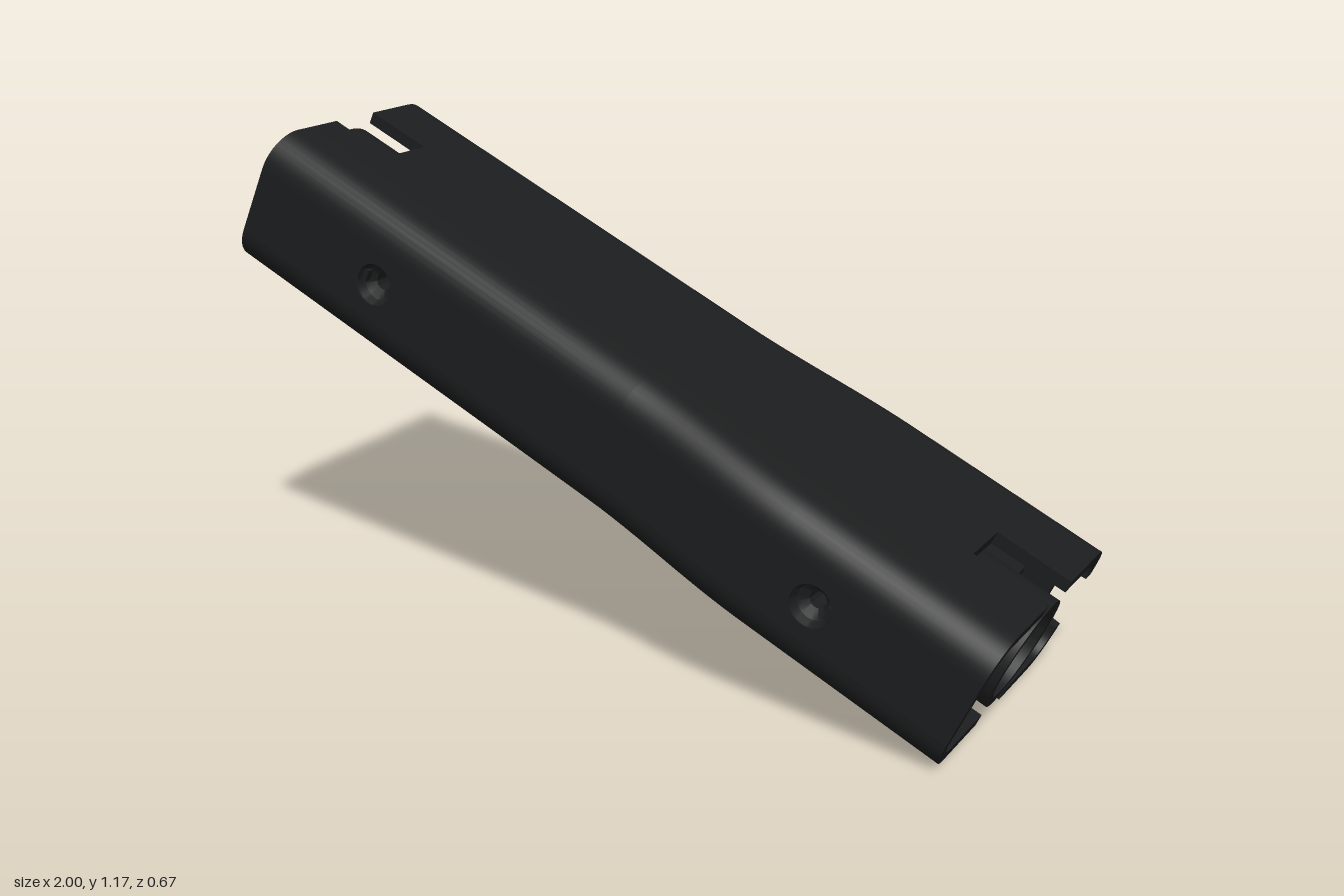
import * as THREE from 'three';
import { toCreasedNormals } from 'three/addons/utils/BufferGeometryUtils.js';

const L = 1.02, H = 0.175, WALL = 0.03, R = 0.09, SLOT = 0.07; // half length, half height, wall, corner, slot half width
const HOLE = 0.633, T0 = 0.05, T1 = 0.5;                      // screw position, start and end of the widening
const mat = new THREE.MeshStandardMaterial({ color: 0x1c1d1e });

// half width of the shell along its length
const width = (u) => 0.302 + 0.035 * THREE.MathUtils.smoothstep(u, T0, T1);

const range = (a, b, n) => Array.from({ length: n + 1 }, (_, i) => a + (b - a) * i / n);

// sweeps a thick open band; section(u) gives pairs of [outer, inner] points as [z, y]
function band(section, stations) {
  const pos = [];
  const rings = stations.map((u) => {
    const s = section(u);
    return [...s.map((p) => p[0]), ...s.map((p) => p[1]).reverse()].map(([z, y]) => [u, y, z]);
  });
  const quad = (a, b, c, d) => pos.push(...a, ...b, ...c, ...a, ...c, ...d);
  const n = rings[0].length;
  for (let k = 0; k < rings.length - 1; k++) {
    const a = rings[k], b = rings[k + 1];
    for (let i = 0; i < n; i++) {
      const j = (i + 1) % n;
      quad(a[i], a[j], b[j], b[i]);
    }
  }
  const s = rings[0], e = rings[rings.length - 1];
  for (let i = 0; i < n / 2 - 1; i++) {
    quad(e[i], e[i + 1], e[n - 2 - i], e[n - 1 - i]);
    quad(s[n - 1 - i], s[n - 2 - i], s[i + 1], s[i]);
  }
  const g = new THREE.BufferGeometry();
  g.setAttribute('position', new THREE.Float32BufferAttribute(pos, 3));
  return toCreasedNormals(g, 0.6);
}

// mirrors a section across z and y, keeping its winding
const mirrored = (section, sz, sy) => (u) => {
  const s = section(u).map((pair) => pair.map(([z, y]) => [z * sz, y * sy]));
  return sz * sy < 0 ? s.reverse() : s;
};

// flat top of the shell from the slot outward, then the rounded corner
const cornerSection = (u) => {
  const w = width(u), cz = w - R, cy = H - R;
  const arc = range(0, Math.PI / 2, 10).map((a) => [R, R - WALL].map(
    (r) => [cz + r * Math.sin(a), cy + r * Math.cos(a)]));
  return [[[SLOT, H], [SLOT, H - WALL]], ...arc];
};

const stripSection = () => [-SLOT, SLOT].map((z) => [[z, H], [z, H - WALL]]);

const sideSection = (u) => [H - R, R - H].map((y) => [[width(u), y], [width(u) - WALL, y]]);

const tubeSection = (a0, a1, n) => () => range(a0, a1, n).map((d) => {
  const a = THREE.MathUtils.degToRad(d);
  return [0.14, 0.113].map((r) => [r * Math.sin(a), r * Math.cos(a)]);
});

// flat side wall at one end, with a screw hole and an optional end notch
function sidePanel(end, notched) {
  const start = end > 0 ? T1 : -T0, h = H - R, n = 0.075, d = 0.055;
  const s = new THREE.Shape();
  s.moveTo(end * start, -h);
  s.lineTo(end * L, -h);
  if (notched) {
    s.lineTo(end * L, -n);
    s.quadraticCurveTo(end * (L - d), -n, end * (L - d), -n * 0.4);
    s.lineTo(end * (L - d), n * 0.4);
    s.quadraticCurveTo(end * (L - d), n, end * L, n);
  }
  s.lineTo(end * L, h);
  s.lineTo(end * start, h);
  s.closePath();
  const hole = new THREE.Path();
  hole.absarc(end * HOLE, 0, 0.05, 0, Math.PI * 2, true);
  s.holes.push(hole);
  return new THREE.ExtrudeGeometry(s, { depth: WALL, bevelEnabled: false, curveSegments: 16 });
}

// hollow boss between the side walls, dished at both ends
function bossGeometry(w) {
  const pts = [[0.052, -w + 0.004], [0.052, w - 0.004], [0.05, w - 0.004], [0.042, w - 0.025], [0.02, w - 0.04],
    [0.02, -w + 0.04], [0.042, -w + 0.025], [0.05, -w + 0.004], [0.052, -w + 0.004]];
  const g = new THREE.LatheGeometry(pts.map((p) => new THREE.Vector2(...p)), 32);
  return toCreasedNormals(g.rotateX(Math.PI / 2).toNonIndexed(), 0.6);
}

export function createModel() {
  const model = new THREE.Group();
  const grip = new THREE.Group();
  grip.name = 'grip';
  const add = (name, geometry) => {
    const m = new THREE.Mesh(geometry, mat);
    m.name = name;
    grip.add(m);
    return m;
  };
  const taper = range(T0, T1, 12);

  // shell: four corner rails, top and bottom strips that stop short to leave the end slots
  for (const sy of [1, -1]) {
    for (const sz of [1, -1]) add('cornerRail', band(mirrored(cornerSection, sz, sy), [-L, ...taper, L]));
    add('centreStrip', band(mirrored(stripSection, 1, sy), sy > 0 ? [-L + 0.17, L - 0.19] : [-L + 0.19, L - 0.17]));
  }

  // side walls: flat ends and the widening part between, notched at the back
  for (const sz of [1, -1]) {
    add('sideTaper', band(mirrored(sideSection, sz, 1), taper));
    for (const end of [1, -1]) {
      const w = width(end * L);
      add('sidePanel', sidePanel(end, sz < 0)).position.z = sz > 0 ? w - WALL : -w;
    }
  }

  // central tube, opened at the sides where the screws pass
  const gap = 0.024;
  const pieces = [[-L, -HOLE - gap], [-HOLE + gap, HOLE - gap], [HOLE + gap, L]];
  for (const a of [0, 180]) {
    add('tube', band(tubeSection(a - 80, a + 80, 24), [-L, L]));
    for (const p of pieces) add('tubeSide', band(tubeSection(a + 80, a + 100, 4), p));
  }

  // screw bosses
  for (const end of [1, -1]) add('screwBoss', bossGeometry(width(end * L))).position.x = end * HOLE;

  // inner ribs from the tube to the side walls
  for (const sz of [1, -1]) {
    for (const [a, b] of [[-0.89, -0.665], [-0.6, T0], [T0, 0.6], [0.665, 0.89]]) {
      const z0 = 0.13, z1 = Math.min(width(a), width(b)) - 0.015;
      add('rib', new THREE.BoxGeometry(b - a, 0.03, z1 - z0)).position.set((a + b) / 2, 0, sz * (z0 + z1) / 2);
    }
  }

  // lean the grip so its lower end meets the floor
  grip.rotation.z = THREE.MathUtils.degToRad(-24.7);
  grip.position.y = 0.585;
  model.add(grip);
  return model;
}
